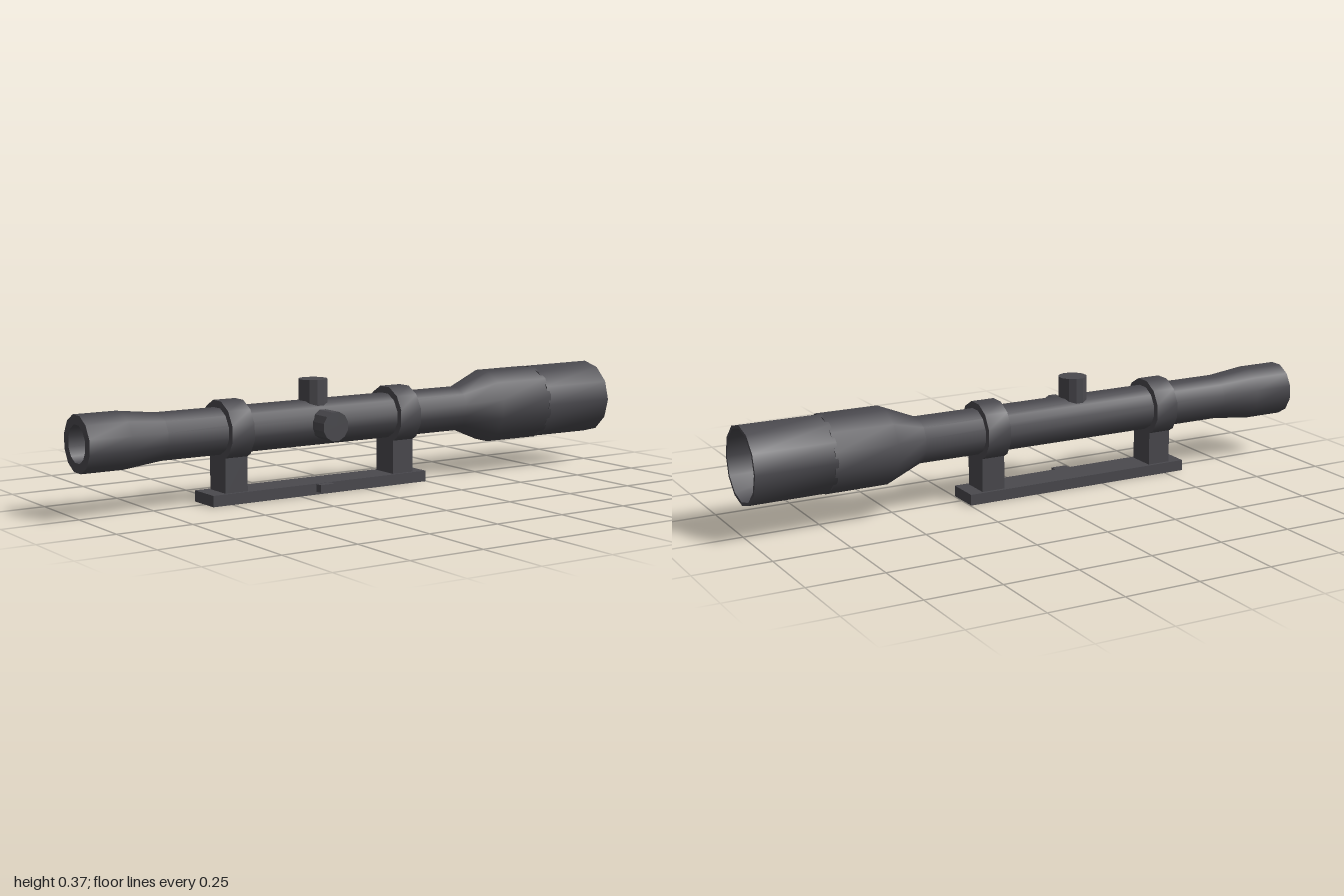
import * as THREE from 'three';
import { toCreasedNormals } from 'three/addons/utils/BufferGeometryUtils.js';

const AXIS_Y = 0.229, AXIS_Z = -0.004, SIDES = 12;
const STEP = Math.PI / SIDES; // half a facet
const FLAT = 1 / Math.cos(STEP); // flat-to-flat size to corner radius

export function createModel() {
  const group = new THREE.Group();
  const metal = new THREE.MeshStandardMaterial({ color: 0x4a494e });
  metal.name = 'dark gunmetal';

  function add(name, geometry, x, y, z) {
    const mesh = new THREE.Mesh(geometry, metal);
    mesh.name = name;
    mesh.position.set(x, y, z);
    group.add(mesh);
    return mesh;
  }

  // Turned part along x; profile entries are [x, radius]
  function turned(name, profile, start, scale) {
    const points = profile.map(([x, r]) => new THREE.Vector2(r * scale, x));
    const geometry = new THREE.LatheGeometry(points, SIDES, start).rotateZ(-Math.PI / 2);
    add(name, toCreasedNormals(geometry, 0.65), 0, AXIS_Y, AXIS_Z);
  }

  function box(name, x0, x1, y0, y1, z0, z1) {
    add(name, new THREE.BoxGeometry(x1 - x0, y1 - y0, z1 - z0),
      (x0 + x1) / 2, (y0 + y1) / 2, (z0 + z1) / 2);
  }

  // Main tube with eyepiece, flared bell and straight bore
  turned('mainTube', [
    [-1, 0.058], [-1, 0.0875], [-0.86, 0.0875], [-0.73, 0.073], [0.41, 0.073],
    [0.53, 0.121], [0.74, 0.122], [0.74, 0.058], [-1, 0.058],
  ], STEP, FLAT);

  // Hollow hood at the wide end
  turned('objectiveHood', [
    [0.73, 0.117], [0.73, 0.126], [1, 0.127], [1, 0.117], [0.73, 0.117],
  ], 0, 1);

  // Two clamping rings on posts
  for (const x of [-0.48, 0.16]) {
    turned('mountRing', [
      [x - 0.04, 0.07], [x - 0.04, 0.095], [x + 0.04, 0.095], [x + 0.04, 0.07], [x - 0.04, 0.07],
    ], STEP, FLAT);
    box('mountPost', x - 0.04, x + 0.04, 0.03, 0.158, -0.052, 0.045);
  }

  // Base rail and its side clamp
  box('baseRail', -0.57, 0.247, 0, 0.036, -0.062, 0.055);
  box('railClamp', -0.19, -0.135, 0.01, 0.035, 0.05, 0.082);

  // Adjustment knobs on top and on the front side
  const knob = (length) => toCreasedNormals(
    new THREE.CylinderGeometry(0.048, 0.048, length, SIDES).rotateY(STEP), 0.3);
  add('topKnob', knob(0.09), -0.164, 0.325, AXIS_Z);
  add('sideKnob', knob(0.085), -0.164, AXIS_Y, 0.0895).rotation.x = Math.PI / 2;

  return group;
}
